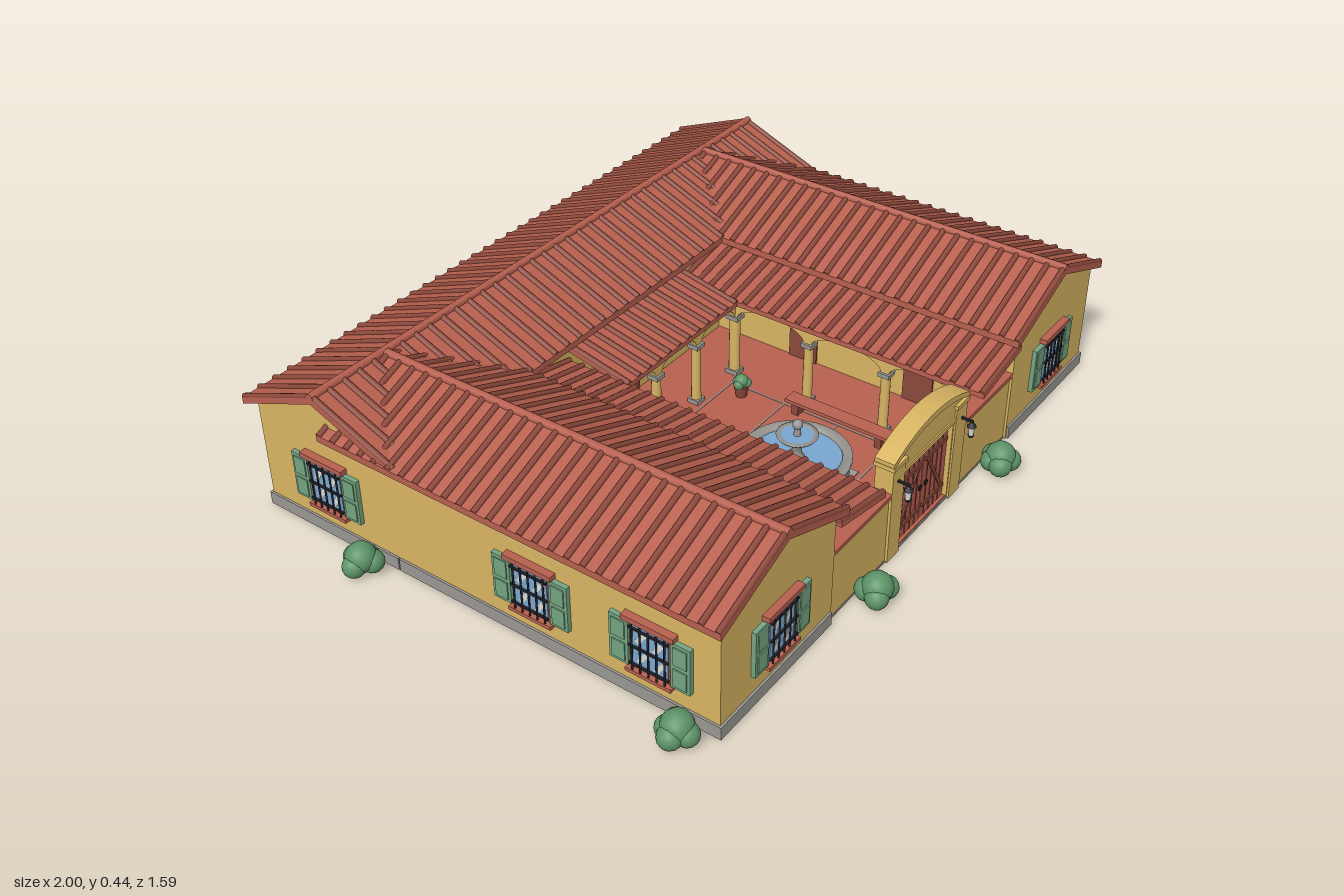
import * as THREE from 'three';

const mat = (name, color) => {
  const m = new THREE.MeshStandardMaterial({ color });
  m.name = name;
  return m;
};
const M = {
  wall: mat('ochre plaster', 0xd9b563),
  tile: mat('terracotta', 0xb8604f),
  rib: mat('dark terracotta', 0x8c483b),
  stone: mat('grey stone', 0x9a9893),
  shutter: mat('shutter green', 0x74a583),
  leaf: mat('leaf green', 0x5d9468),
  water: mat('glass blue', 0x79a6cf),
  iron: mat('iron', 0x25262e),
  glint: mat('pale cream', 0xd9dcd6),
};

function add(parent, name, geo, material, x = 0, y = 0, z = 0) {
  const m = new THREE.Mesh(geo, material);
  m.name = name;
  m.position.set(x, y, z);
  parent.add(m);
  return m;
}
const box = (p, name, material, w, h, d, x, y, z) => add(p, name, new THREE.BoxGeometry(w, h, d), material, x, y, z);
const cyl = (p, name, material, rt, rb, h, x, y, z, n = 16) => add(p, name, new THREE.CylinderGeometry(rt, rb, h, n), material, x, y, z);
function group(parent, name, x = 0, y = 0, z = 0, ry = 0) {
  const g = new THREE.Group();
  g.name = name;
  g.position.set(x, y, z);
  g.rotation.y = ry;
  parent.add(g);
  return g;
}
const polygon = pts => new THREE.Shape(pts.map(p => new THREE.Vector2(...p)));
const extrude = (shape, depth) => new THREE.ExtrudeGeometry(shape, { depth, bevelEnabled: false, curveSegments: 16 }).translate(0, 0, -depth / 2);

// A round tile row between two heights on a slope, in the local xy plane
function tileRow(p, x0, y0, x1, y1, z) {
  const r = cyl(p, 'tileRow', M.rib, 0.008, 0.008, Math.hypot(x1 - x0, y1 - y0), (x0 + x1) / 2, (y0 + y1) / 2, z, 8);
  r.rotation.z = Math.atan2(y1 - y0, x1 - x0) - Math.PI / 2;
}

// House block with gable walls and a tiled roof, ridge along local z
function gableBlock(parent, name, x, z, ry, wallLen, roofFrom, roofTo, pitch) {
  const g = group(parent, name, x, 0, z, ry);
  const hw = 0.2225, hr = 0.25, peak = 0.412, k = 0.4, t = 0.018;
  add(g, 'walls', extrude(polygon([[-hw, 0], [hw, 0], [hw, peak - k * hw], [0, peak], [-hw, peak - k * hw]]), wallLen), M.wall);
  const len = roofTo - roofFrom, eave = peak - k * hr;
  add(g, 'roof', extrude(polygon([[-hr, eave], [0, peak], [hr, eave], [hr, eave + t], [0, peak + t], [-hr, eave + t]]), len),
    M.tile, 0, 0, (roofFrom + roofTo) / 2);
  const n = Math.round(len / pitch);
  for (let i = 0; i <= n; i++) {
    const rz = roofFrom + 0.008 + (len - 0.016) * i / n;
    for (const s of [-1, 1]) tileRow(g, 0, peak + t, s * hr, eave + t, rz);
  }
  cyl(g, 'ridgeCap', M.tile, 0.011, 0.011, len, 0, peak + t, (roofFrom + roofTo) / 2, 8).rotation.x = Math.PI / 2;
}

// Lean-to roof on an arcade, sloping down toward local +x
function portico(parent, x, z, ry, len, posts) {
  const g = group(parent, 'portico', x, 0, z, ry);
  const h = 0.198, y0 = 0.306, y1 = 0.264;
  add(g, 'porticoRoof', extrude(polygon([[0, y0 - 0.014], [h, y1 - 0.014], [h, y1], [0, y0]]), len), M.tile);
  const n = Math.round(len / 0.043);
  for (let i = 0; i <= n; i++) tileRow(g, 0, y0, h, y1, -len / 2 + 0.008 + (len - 0.016) * i / n);
  // Arched panel over the columns
  const a = posts[0], b = posts[posts.length - 1], top = 0.257, spring = 0.2;
  const s = new THREE.Shape();
  s.moveTo(a - 0.012, top).lineTo(b + 0.012, top).lineTo(b + 0.012, spring);
  for (let i = posts.length - 2; i >= 0; i--) {
    const c = (posts[i] + posts[i + 1]) / 2;
    s.absellipse(c, spring, (posts[i + 1] - posts[i]) / 2 - 0.012, 0.042, 0, Math.PI, false);
  }
  s.lineTo(a - 0.012, spring);
  add(g, 'arches', extrude(s, 0.02), M.wall, 0.17).rotation.y = -Math.PI / 2;
  for (const p of posts) {
    cyl(g, 'column', M.wall, 0.013, 0.014, 0.19, 0.17, 0.1, p, 12);
    box(g, 'capital', M.stone, 0.034, 0.012, 0.034, 0.17, 0.196, p);
    box(g, 'columnBase', M.stone, 0.034, 0.014, 0.034, 0.17, 0.017, p);
  }
}

// Barred window with shutters, facing local +z
function windowUnit(parent, x, z, ry) {
  const g = group(parent, 'window', x, 0.157, z, ry);
  box(g, 'windowFrame', M.rib, 0.112, 0.138, 0.008, 0, 0, 0.002);
  box(g, 'glass', M.water, 0.096, 0.122, 0.006, 0, 0, 0.005);
  for (const [gx, gy] of [[-0.024, 0.026], [0.022, 0.02], [-0.02, -0.03], [0.026, -0.034]])
    box(g, 'glint', M.glint, 0.012, 0.04, 0.002, gx, gy, 0.008).rotation.z = -0.6;
  for (let i = 0; i < 5; i++) cyl(g, 'bar', M.iron, 0.0025, 0.0025, 0.136, -0.044 + i * 0.022, 0, 0.015, 6);
  for (const y of [-0.052, 0, 0.052]) box(g, 'crossBar', M.iron, 0.108, 0.005, 0.005, 0, y, 0.014);
  box(g, 'lintel', M.tile, 0.14, 0.014, 0.024, 0, 0.076, 0.008);
  box(g, 'sill', M.tile, 0.124, 0.01, 0.022, 0, -0.073, 0.008);
  for (const s of [-1, 1]) {
    box(g, 'shutter', M.shutter, 0.052, 0.13, 0.012, s * 0.083, 0, 0.006);
    for (const y of [-0.031, 0.031]) box(g, 'shutterPanel', M.shutter, 0.036, 0.05, 0.004, s * 0.083, y, 0.013);
  }
}

function bush(parent, x, z, seed, k = 1, y = 0) {
  const g = group(parent, 'bush', x, y, z, seed * 1.7);
  g.scale.setScalar(k);
  const lobes = [[0, 0.047, 0, 0.04], [0.024, 0.034, 0.008, 0.031], [-0.024, 0.035, 0.012, 0.03], [0.004, 0.034, -0.024, 0.03], [0, 0.034, 0.024, 0.029]];
  for (const [bx, by, bz, r] of lobes) add(g, 'foliage', new THREE.IcosahedronGeometry(r, 2), M.leaf, bx, by, bz);
}

function gateway(parent) {
  const g = group(parent, 'gateway', 0, 0, 0.665);
  // Arched gate wall with its opening
  const s = new THREE.Shape();
  s.moveTo(-0.175, 0).lineTo(-0.122, 0).lineTo(-0.122, 0.24).lineTo(0.122, 0.24).lineTo(0.122, 0).lineTo(0.175, 0).lineTo(0.175, 0.295);
  s.quadraticCurveTo(0, 0.375, -0.175, 0.295);
  add(g, 'gateWall', extrude(s, 0.04), M.wall);
  const c = new THREE.Shape();
  c.moveTo(-0.185, 0.288).quadraticCurveTo(0, 0.368, 0.185, 0.288).lineTo(0.185, 0.302).quadraticCurveTo(0, 0.388, -0.185, 0.302);
  add(g, 'archMoulding', extrude(c, 0.054), M.wall);
  box(g, 'doorLintel', M.wall, 0.26, 0.014, 0.048, 0, 0.247, 0);
  for (const e of [-1, 1]) {
    box(g, 'gatePier', M.wall, 0.056, 0.285, 0.05, e * 0.154, 0.1425, 0);
    box(g, 'pierCap', M.wall, 0.064, 0.012, 0.058, e * 0.154, 0.285, 0);
    // Plank doors with battens, studs and ring
    box(g, 'doorLeaf', M.tile, 0.119, 0.234, 0.016, e * 0.061, 0.121, 0);
    for (const f of [-1, 1]) {
      for (let i = 1; i < 5; i++) box(g, 'plankGap', M.rib, 0.003, 0.228, 0.003, e * i * 0.024, 0.121, f * 0.008);
      for (const y of [0.05, 0.195]) box(g, 'batten', M.rib, 0.108, 0.012, 0.005, e * 0.061, y, f * 0.01);
      box(g, 'brace', M.rib, 0.01, 0.17, 0.004, e * 0.061, 0.122, f * 0.01).rotation.z = e * 0.55;
      add(g, 'doorRing', new THREE.TorusGeometry(0.007, 0.002, 6, 12), M.iron, e * 0.014, 0.12, f * 0.013);
    }
    // Lantern
    const l = group(g, 'lantern', e * 0.157, 0.208, 0.054);
    box(l, 'lanternArm', M.iron, 0.006, 0.006, 0.034, 0, 0.03, -0.014);
    cyl(l, 'lanternRoof', M.iron, 0.003, 0.013, 0.012, 0, 0.021, 0, 6);
    cyl(l, 'lanternGlass', M.glint, 0.009, 0.007, 0.028, 0, 0.002, 0, 6);
    cyl(l, 'lanternBase', M.iron, 0.009, 0.006, 0.006, 0, -0.014, 0, 6);
    // Low wall beside the gate
    box(g, 'frontWall', M.wall, 0.265, 0.2, 0.036, e * 0.3075, 0.1, 0);
    box(g, 'wallCoping', M.tile, 0.26, 0.012, 0.05, e * 0.311, 0.206, 0);
  }
}

function fountain(parent) {
  const g = group(parent, 'fountain', 0, 0.01, 0.31);
  const lathe = pts => new THREE.LatheGeometry(pts.map(p => new THREE.Vector2(...p)), 32);
  add(g, 'basin', lathe([[0.14, 0], [0.14, 0.034], [0.146, 0.036], [0.146, 0.046], [0.12, 0.046], [0.12, 0.02]]), M.stone);
  cyl(g, 'poolWater', M.water, 0.121, 0.121, 0.01, 0, 0.032, 0, 32);
  add(g, 'upperBowl', lathe([[0.028, 0.03], [0.014, 0.045], [0.012, 0.08], [0.05, 0.1], [0.056, 0.108], [0.044, 0.108], [0.04, 0.102]]), M.stone);
  cyl(g, 'bowlWater', M.water, 0.044, 0.044, 0.004, 0, 0.104, 0, 24);
  cyl(g, 'spout', M.stone, 0.008, 0.01, 0.03, 0, 0.118, 0, 12);
  add(g, 'finial', new THREE.SphereGeometry(0.014, 16, 10), M.stone, 0, 0.138, 0);
}

export function createModel() {
  const root = new THREE.Group();
  root.name = 'courtyardHouse';

  // Main blocks and plinths
  gableBlock(root, 'backRange', 0, -0.4675, Math.PI / 2, 1.77, -0.908, 0.908, 0.049);
  box(root, 'plinth', M.stone, 1.782, 0.036, 0.444, 0, 0.02, -0.474);
  for (const s of [-1, 1]) {
    gableBlock(root, 'wing', s * 0.6625, 0.2225, 0, 0.935, -0.68, 0.486, 0.045);
    box(root, 'plinth', M.stone, 0.446, 0.036, 0.944, s * 0.668, 0.02, 0.224);
  }

  // Courtyard paving
  box(root, 'courtyardBase', M.stone, 0.88, 0.006, 0.93, 0, 0.004, 0.22);
  box(root, 'courtyardFloor', M.tile, 0.88, 0.005, 0.925, 0, 0.0085, 0.22);
  for (const x of [-0.22, 0, 0.22]) box(root, 'pavingLine', M.stone, 0.004, 0.002, 0.69, x, 0.0115, 0.3);
  for (const z of [-0.045, 0.13, 0.3, 0.47, 0.64]) box(root, 'pavingLine', M.stone, 0.44, 0.002, 0.004, 0, 0.0115, z);
  box(root, 'fountainPaving', M.stone, 0.29, 0.003, 0.15, 0, 0.012, 0.31);
  box(root, 'fountainPaving', M.stone, 0.15, 0.003, 0.29, 0, 0.012, 0.31);
  fountain(root);

  // Porticoes around three sides
  portico(root, -0.44, 0.23, 0, 0.95, [-0.3, -0.06, 0.18, 0.4]);
  portico(root, 0.44, 0.23, Math.PI, 0.95, [-0.4, -0.18, 0.06, 0.3]);
  portico(root, 0, -0.245, -Math.PI / 2, 0.49, [-0.27, -0.09, 0.09, 0.27]);

  gateway(root);

  // Windows, doors, benches and pots
  for (const s of [-1, 1]) {
    windowUnit(root, s * 0.6625, 0.69, 0);
    for (const z of [0.51, 0.175, -0.47]) windowUnit(root, s * 0.885, z, s * Math.PI / 2);
    for (const x of [0.245, 0.65]) windowUnit(root, s * x, -0.69, Math.PI);
    for (const z of [0.05, 0.42]) box(root, 'roomDoor', M.rib, 0.01, 0.18, 0.09, s * 0.439, 0.1, z);
    box(root, 'benchSeat', M.tile, 0.044, 0.01, 0.32, s * 0.21, 0.05, 0.31);
    for (const z of [0.18, 0.44]) box(root, 'benchLeg', M.rib, 0.034, 0.036, 0.02, s * 0.21, 0.028, z);
    for (const z of [0.01, 0.58]) {
      cyl(root, 'pot', M.rib, 0.022, 0.015, 0.036, s * 0.185, 0.028, z);
      bush(root, s * 0.185, z, z + s, 0.5, 0.036);
    }
  }
  box(root, 'roomDoor', M.rib, 0.1, 0.18, 0.01, 0, 0.1, -0.244);

  // Bushes around the house
  [[-0.945, -0.32], [-0.945, 0.62], [0.943, -0.55], [0.943, 0.59], [-0.315, 0.74], [0.31, 0.74], [-0.45, -0.75]]
    .forEach(([x, z], i) => bush(root, x, z, i + 1));
  return root;
}
